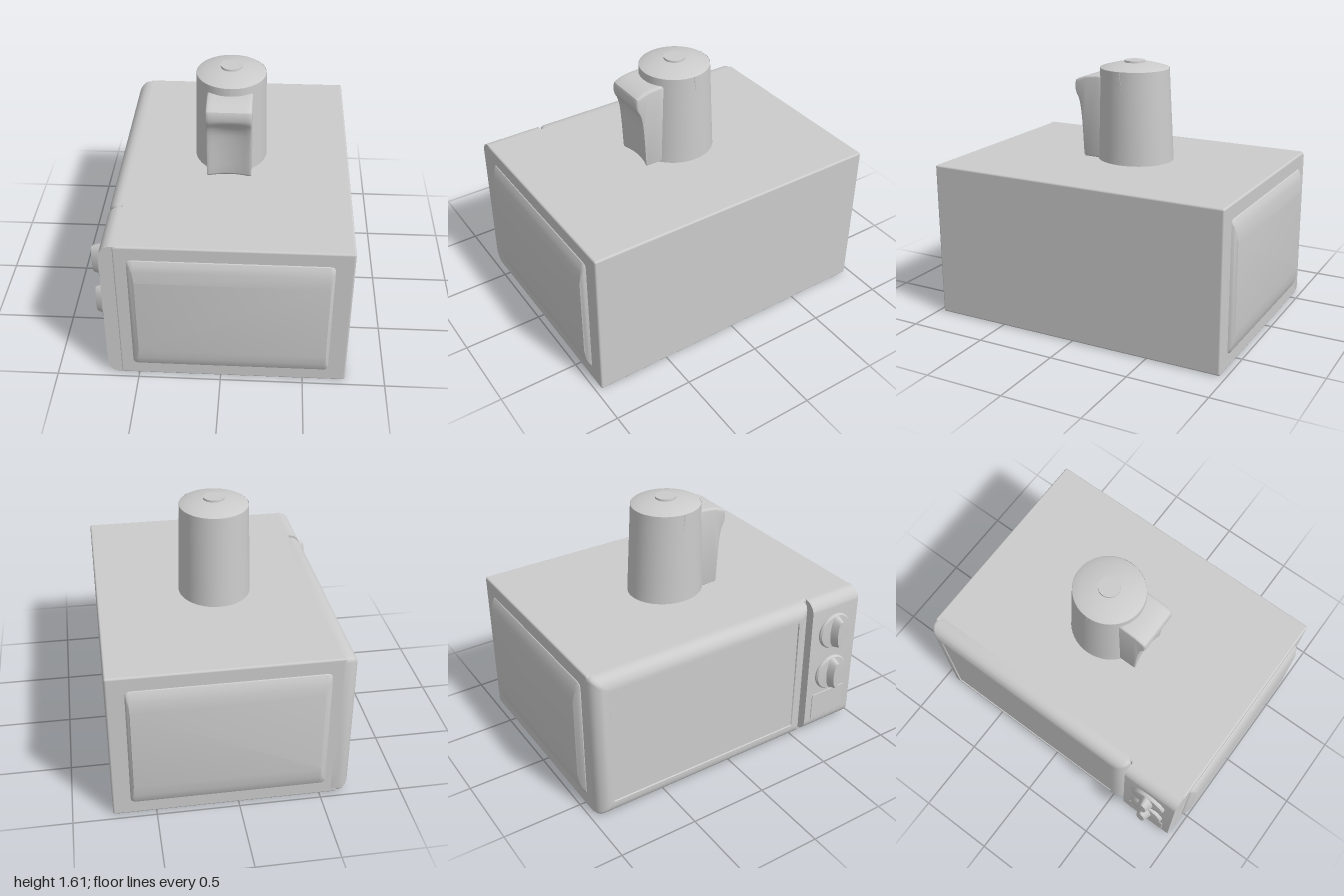
import * as THREE from 'three';
import { toCreasedNormals } from 'three/addons/utils/BufferGeometryUtils.js';
import { RoundedBoxGeometry } from 'three/addons/geometries/RoundedBoxGeometry.js';

const material = new THREE.MeshStandardMaterial({ color: 0xcccccc, side: THREE.DoubleSide });

function add(parent, name, geometry, x = 0, y = 0, z = 0) {
  const mesh = new THREE.Mesh(geometry, material);
  mesh.name = name;
  mesh.position.set(x, y, z);
  parent.add(mesh);
  return mesh;
}

// Skin over nested rounded rectangles [x0, x1, y0, y1, z, cornerRadius], closed by a flat cap, facing +z
function nestedRects(loops, crease = 0.5) {
  const pos = [], index = [], steps = 4, n = 4 * (steps + 1);
  for (const [x0, x1, y0, y1, z, r] of loops) {
    const corners = [[x1 - r, y1 - r], [x0 + r, y1 - r], [x0 + r, y0 + r], [x1 - r, y0 + r]];
    corners.forEach(([cx, cy], c) => {
      for (let i = 0; i <= steps; i++) {
        const a = (c + i / steps) * Math.PI / 2;
        pos.push(cx + r * Math.cos(a), cy + r * Math.sin(a), z);
      }
    });
  }
  for (let l = 0; l < loops.length - 1; l++) {
    for (let i = 0; i < n; i++) {
      const a = l * n + i, b = l * n + (i + 1) % n;
      index.push(a, b, b + n, a, b + n, a + n);
    }
  }
  const last = (loops.length - 1) * n;
  for (let i = 1; i < n - 1; i++) index.push(last, last + i, last + i + 1);
  const g = new THREE.BufferGeometry();
  g.setAttribute('position', new THREE.Float32BufferAttribute(pos, 3));
  g.setIndex(index);
  return toCreasedNormals(g, crease);
}

function buildOven() {
  const oven = new THREE.Group();
  oven.name = 'microwaveOven';

  // Case
  add(oven, 'case', new RoundedBoxGeometry(1.37, 0.985, 1.93, 3, 0.012), 0.075, 0.4975, 0);

  // Bulged side panels
  const bulge = nestedRects([
    [-0.535, 0.655, 0.085, 0.905, 0.955, 0.03],
    [-0.53, 0.65, 0.095, 0.895, 0.97, 0.03],
    [-0.515, 0.645, 0.12, 0.87, 0.982, 0.02],
    [-0.5, 0.635, 0.16, 0.83, 0.992, 0.01],
    [-0.49, 0.63, 0.23, 0.76, 1.0, 0.004],
  ]);
  for (const side of [1, -1]) {
    const g = bulge.clone();
    if (side < 0) g.rotateY(Math.PI).scale(-1, 1, 1);
    if (side < 0) {
      // Mirroring turns the faces over, so swap two corners of each
      const p = g.attributes.position, q = g.attributes.normal;
      for (const a of [p, q]) {
        for (let i = 0; i < a.count; i += 3) {
          const t = [a.getX(i), a.getY(i), a.getZ(i)];
          a.setXYZ(i, a.getX(i + 1), a.getY(i + 1), a.getZ(i + 1));
          a.setXYZ(i + 1, ...t);
        }
      }
    }
    add(oven, side > 0 ? 'leftSidePanel' : 'rightSidePanel', g);
  }

  // Door: quarter-round rim, then a slightly sunken window
  const rect = (inset, depth, r) => [-0.965 + inset, 0.58 - inset, 0.005 + inset, 0.99 - inset, depth, r];
  const loops = [rect(0, 0.57, 0.03)];
  for (let i = 0; i <= 6; i++) {
    const a = i / 6 * Math.PI / 2;
    loops.push(rect(0.08 * (1 - Math.cos(a)), 0.61 + 0.08 * Math.sin(a), 0.03 - 0.004 * i));
  }
  loops.push(rect(0.098, 0.69, 0.005), rect(0.102, 0.683, 0.004));
  add(oven, 'door', nestedRects(loops, 0.6).rotateY(-Math.PI / 2));

  // Control panel
  const s = new THREE.Shape();
  s.moveTo(-0.59, 0.005);
  s.lineTo(-0.61, 0.005);
  s.absarc(-0.61, 0.085, 0.08, -Math.PI / 2, -Math.PI, true);
  s.absarc(-0.61, 0.91, 0.08, Math.PI, Math.PI / 2, true);
  s.lineTo(-0.59, 0.99);
  const panel = new THREE.ExtrudeGeometry(s, { depth: 0.372, bevelEnabled: false, curveSegments: 8 });
  add(oven, 'controlPanel', toCreasedNormals(panel, 0.6), 0, 0, 0.59);
  add(oven, 'doorButton', new RoundedBoxGeometry(0.02, 0.19, 0.27, 2, 0.004), -0.685, 0.19, 0.775);

  // Knobs
  for (const y of [0.745, 0.43]) {
    const knob = new THREE.Group();
    knob.name = 'knob';
    knob.position.set(-0.685, y, 0.775);
    knob.rotation.z = Math.PI / 2;
    const base = [[0.123, 0], [0.123, 0.015], [0.115, 0.026], [0.06, 0.03], [0, 0.03]];
    add(knob, 'knobBase', toCreasedNormals(new THREE.LatheGeometry(base.map(p => new THREE.Vector2(...p)), 32), 0.5));
    const grip = [[0.117, 0.015], [0.1, 0.068], [0.093, 0.079], [0, 0.08]];
    const g = new THREE.LatheGeometry(grip.map(p => new THREE.Vector2(...p)), 32);
    // Flatten the grip into an upright bar that narrows outwards
    const p = g.attributes.position;
    for (let i = 0; i < p.count; i++) p.setZ(i, p.getZ(i) * (0.46 - (p.getY(i) - 0.015) * 2.4));
    add(knob, 'knobGrip', toCreasedNormals(g, 0.6));
    oven.add(knob);
  }
  return oven;
}

function buildKettle() {
  const kettle = new THREE.Group();
  kettle.name = 'kettle';
  kettle.position.set(0.015, 0, -0.045);

  // Tapered body, a little deeper than wide at the foot
  const body = new THREE.CylinderGeometry(0.213, 0.226, 0.585, 48, 6, true).translate(0, 1.2775, 0);
  const p = body.attributes.position;
  for (let i = 0; i < p.count; i++) {
    const t = (1.57 - p.getY(i)) / 0.585;
    p.setZ(i, p.getZ(i) * (1.03 + 0.05 * t) - 0.01 * t);
  }
  body.computeVertexNormals();
  add(kettle, 'body', body);

  // Slanted seams down both sides
  for (const side of [1, -1]) {
    const seam = new THREE.LineCurve3(
      new THREE.Vector3(side * 0.2125, 1.568, 0), new THREE.Vector3(side * 0.211, 0.985, -0.08));
    add(kettle, 'seam', new THREE.TubeGeometry(seam, 6, 0.003, 6));
  }

  // Domed lid and its button
  const dome = [[0.213, 1.565], [0.21, 1.572], [0.17, 1.584], [0.12, 1.597], [0.06, 1.605], [0, 1.607]];
  const lid = new THREE.LatheGeometry(dome.map(q => new THREE.Vector2(...q)), 48);
  lid.scale(1, 1, 1.03);
  add(kettle, 'lid', lid);
  add(kettle, 'lidButton', new THREE.CylinderGeometry(0.065, 0.067, 0.022, 32), 0, 1.605, 0);

  // Handle: side profile pulled across, its front hollowed in the middle
  const s = new THREE.Shape();
  s.moveTo(0.1, 0.995);
  s.lineTo(0.285, 0.995);
  s.quadraticCurveTo(0.3, 1.0, 0.3, 1.02);
  s.bezierCurveTo(0.31, 1.2, 0.315, 1.35, 0.345, 1.39);
  s.bezierCurveTo(0.36, 1.42, 0.36, 1.46, 0.35, 1.485);
  s.bezierCurveTo(0.31, 1.51, 0.26, 1.52, 0.175, 1.522);
  s.lineTo(0.1, 1.5);
  const handle = new THREE.ExtrudeGeometry(s, {
    depth: 0.245, steps: 10, curveSegments: 10, bevelThickness: 0.015, bevelSize: 0.012, bevelOffset: -0.012, bevelSegments: 3,
  });
  handle.translate(0, 0, -0.1225).rotateY(-Math.PI / 2);
  const h = handle.attributes.position;
  for (let i = 0; i < h.count; i++) {
    const across = 1 - (h.getX(i) / 0.1375) ** 2;
    const low = THREE.MathUtils.clamp((1.42 - h.getY(i)) / 0.1, 0, 1);
    if (h.getZ(i) > 0.24) h.setZ(i, h.getZ(i) - 0.025 * across * low);
  }
  add(kettle, 'handle', toCreasedNormals(handle, 0.6));
  return kettle;
}

export function createModel() {
  const model = new THREE.Group();
  model.name = 'microwaveWithKettle';
  model.add(buildOven(), buildKettle());
  return model;
}
